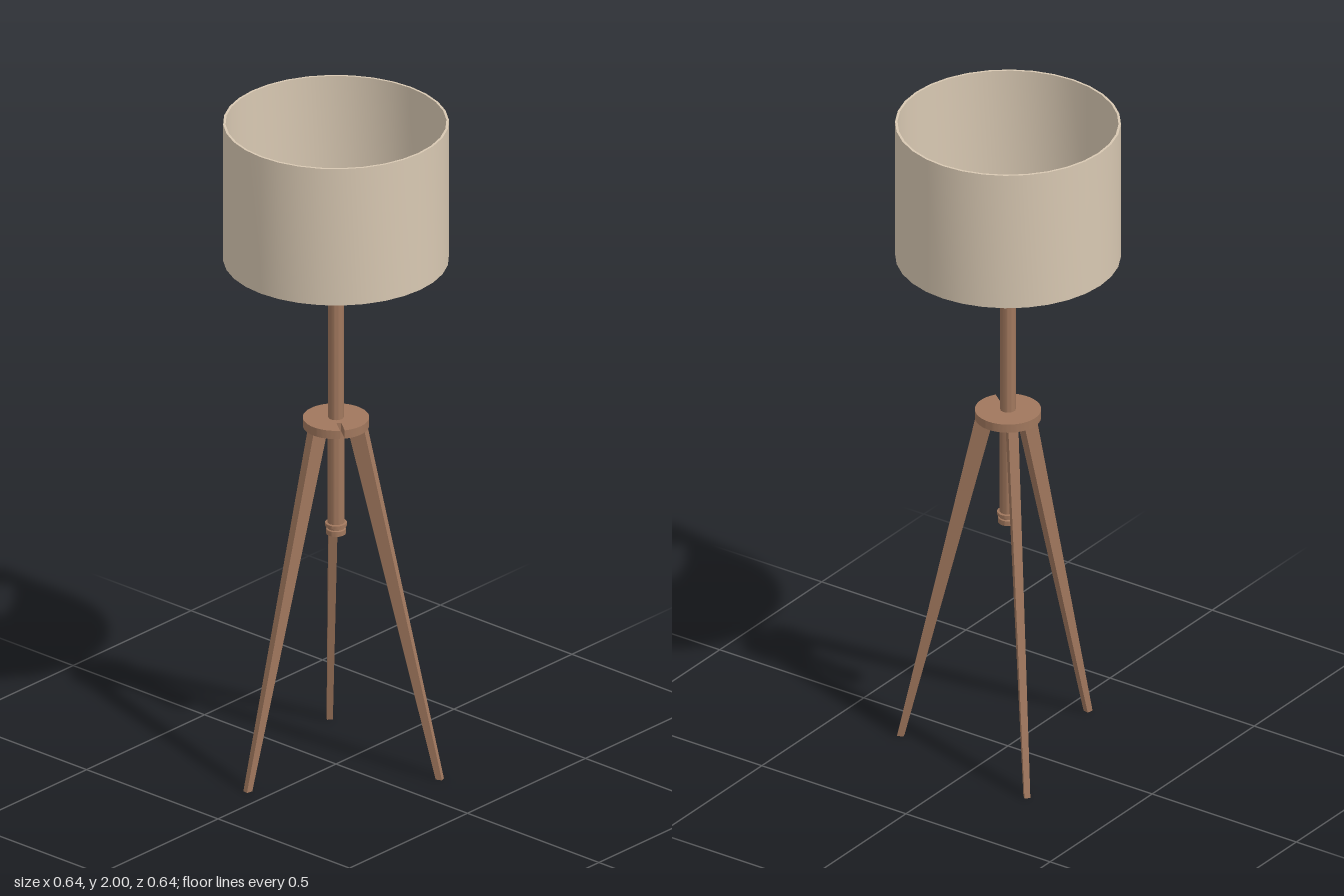
import * as THREE from 'three';
import { toCreasedNormals } from 'three/addons/utils/BufferGeometryUtils.js';

const DEG = Math.PI / 180;

export function createModel() {
  const model = new THREE.Group();
  model.name = 'tripodFloorLamp';

  const material = (name, color) => {
    const m = new THREE.MeshStandardMaterial({ color });
    m.name = name;
    return m;
  };
  const linen = material('linen', 0xd8c8b2);
  const wood = material('wood', 0xa0775d);
  const metal = material('metal', 0xd2d4d6);

  const add = (name, geometry, mat) => {
    const mesh = new THREE.Mesh(geometry, mat);
    mesh.name = name;
    model.add(mesh);
    return mesh;
  };
  // Turned part from [radius, height] pairs, listed up the outside
  const turned = (name, profile, mat, sides = 32) => add(name, toCreasedNormals(
    new THREE.LatheGeometry(profile.map(([r, y]) => new THREE.Vector2(r, y)), sides), 0.5), mat);

  // Drum shade, open at both ends
  turned('shade', [[0.313, 1.575], [0.32, 1.575], [0.32, 2], [0.313, 2], [0.313, 1.575]], linen);

  // Upper pole, and lower stem with its collars
  turned('upperPole', [[0, 1.05], [0.022, 1.05], [0.022, 1.59], [0, 1.59]], wood);
  turned('lowerStem', [
    [0, 0.72], [0.028, 0.72], [0.028, 0.735], [0.024, 0.737], [0.024, 0.744],
    [0.031, 0.745], [0.031, 0.754], [0.024, 0.755], [0.024, 1.03],
    [0.031, 1.03], [0.031, 1.056], [0, 1.056],
  ], wood);

  // Round top plate with a slot cut in from the rim
  const R = 0.094, slotAngle = 37 * DEG, half = 0.0068, inner = 0.042;
  const open = Math.asin(half / R);
  const slotPoint = (along, side) => [
    along * Math.cos(slotAngle) - side * Math.sin(slotAngle),
    along * Math.sin(slotAngle) + side * Math.cos(slotAngle)];
  const plate = new THREE.Shape();
  plate.absarc(0, 0, R, slotAngle + open, slotAngle + 2 * Math.PI - open, false);
  plate.lineTo(...slotPoint(inner, -half));
  plate.lineTo(...slotPoint(inner, half));
  plate.closePath();
  const plateGeometry = new THREE.ExtrudeGeometry(plate, { depth: 0.026, bevelEnabled: false, curveSegments: 48 });
  plateGeometry.rotateX(Math.PI / 2).translate(0, 1.081, 0);
  add('topPlate', toCreasedNormals(plateGeometry, 0.5), wood);

  // Tapered, splayed legs
  const legAngles = [101.6, -23, -135.2];
  legAngles.forEach((angle, i) => {
    const g = new THREE.BoxGeometry(1, 1, 1);
    const p = g.attributes.position;
    for (let k = 0; k < p.count; k++) {
      const top = p.getY(k) > 0, out = p.getX(k) > 0;
      const radius = top ? (out ? 0.09 : 0.04) : (out ? 0.32 : 0.301);
      p.setXYZ(k, radius, top ? 1.057 : 0, p.getZ(k) * (top ? 0.029 : 0.017));
    }
    g.rotateY(-angle * DEG);
    g.computeVertexNormals();
    add('leg' + (i + 1), g, wood);
  });

  // Bulb socket with a flange at its foot
  turned('socket', [
    [0, 1.583], [0.032, 1.583], [0.032, 1.61], [0.028, 1.612],
    [0.025, 1.672], [0, 1.672],
  ], metal);

  // Spokes from the socket to the shade
  [5.5, 129.2, 253.3].forEach((angle, i) => {
    const c = Math.cos(angle * DEG), s = Math.sin(angle * DEG);
    const path = new THREE.LineCurve3(
      new THREE.Vector3(0.025 * c, 1.6, 0.025 * s),
      new THREE.Vector3(0.315 * c, 1.586, 0.315 * s));
    add('spoke' + (i + 1), new THREE.TubeGeometry(path, 1, 0.0038, 8), metal);
  });

  return model;
}
